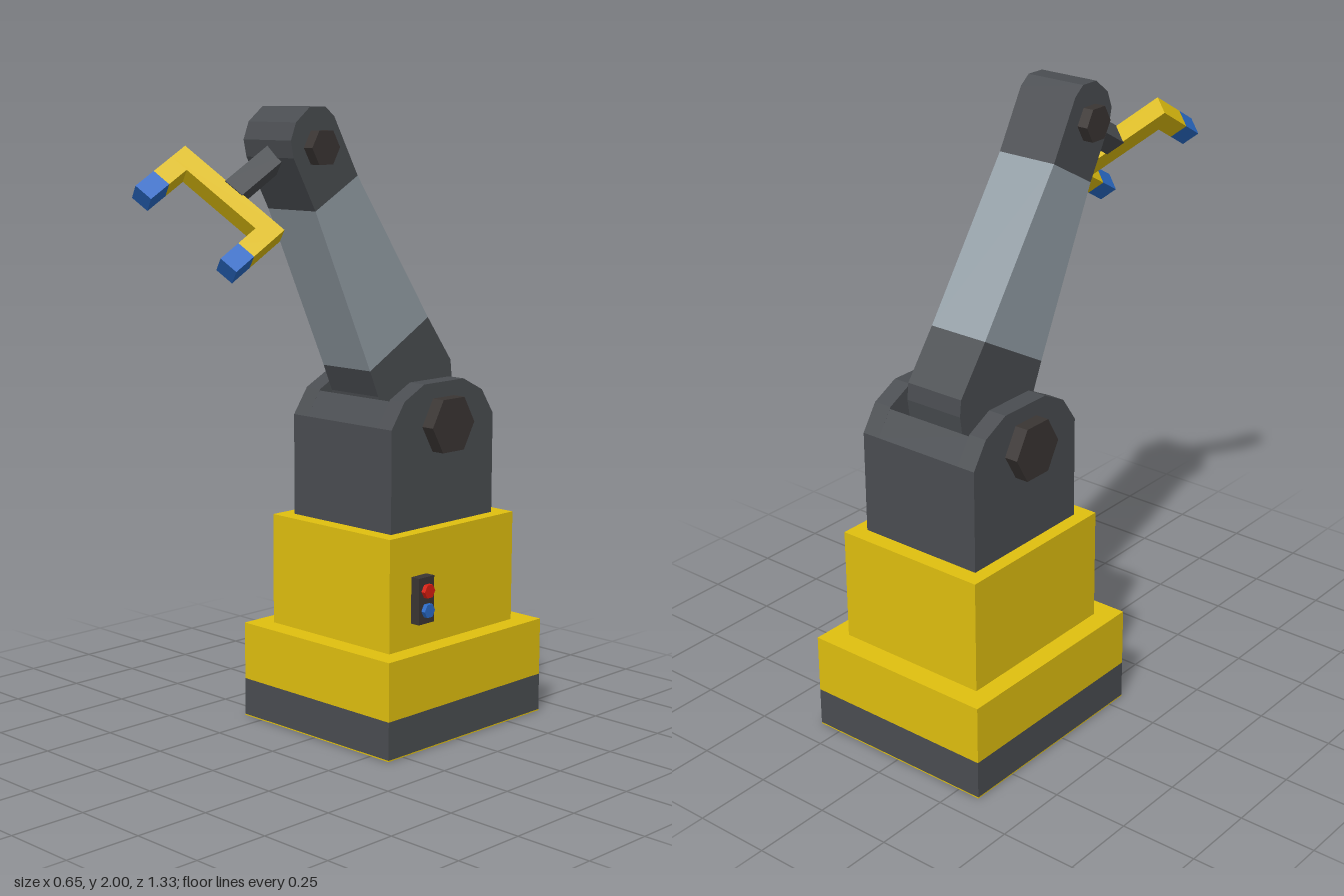
import * as THREE from 'three';

const mat = (color) => new THREE.MeshStandardMaterial({ color, flatShading: true });

export function createModel() {
  const yellow = mat(0xe0bf0f), dark = mat(0x4a4d51), light = mat(0x939ea6);
  const black = mat(0x3a3533), blue = mat(0x2a6bc8), red = mat(0xd81e10);
  const model = new THREE.Group();
  model.name = 'robotArm';

  function add(name, geometry, material, x = 0, y = 0, z = 0, parent = model) {
    const mesh = new THREE.Mesh(geometry, material);
    mesh.name = name;
    mesh.position.set(x, y, z);
    parent.add(mesh);
    return mesh;
  }
  // Box given by its bottom and top heights
  const block = (name, w, y0, y1, d, material, z) =>
    add(name, new THREE.BoxGeometry(w, y1 - y0, d), material, 0, (y0 + y1) / 2, z);
  // Side profile of [z, y] points extruded across x
  function slab(name, points, x0, x1, material) {
    const shape = new THREE.Shape(points.map(([z, y]) => new THREE.Vector2(-z, y)));
    const geometry = new THREE.ExtrudeGeometry(shape, { depth: x1 - x0, bevelEnabled: false });
    geometry.rotateY(Math.PI / 2);
    return add(name, geometry, material, x0);
  }
  // Hexagonal rod lying along x
  function hexRod(name, r, length, material, x, y, z) {
    const geometry = new THREE.CylinderGeometry(r, r, length, 6);
    geometry.rotateZ(Math.PI / 2);
    return add(name, geometry, material, x, y, z);
  }

  // Stepped base
  const cz = -0.299;
  block('basePlate', 0.654, 0, 0.004, 0.728, yellow, cz);
  block('baseFoot', 0.654, 0.004, 0.127, 0.728, dark, cz);
  block('baseStep', 0.654, 0.127, 0.317, 0.728, yellow, cz);
  block('baseBody', 0.524, 0.317, 0.682, 0.585, yellow, cz + 0.002);

  // Control box with two buttons
  add('controlBox', new THREE.BoxGeometry(0.04, 0.15, 0.07), black, 0.275, 0.472, -0.138);
  hexRod('redButton', 0.024, 0.03, red, 0.295, 0.503, -0.138);
  hexRod('blueButton', 0.024, 0.03, blue, 0.295, 0.44, -0.138);

  // Shoulder housing: two cheeks and a hollowed middle
  const cheek = [
    [-0.057, 0.68], [-0.057, 1.012], [-0.115, 1.095], [-0.205, 1.14],
    [-0.39, 1.14], [-0.48, 1.095], [-0.535, 1.012], [-0.535, 0.68],
  ];
  const middle = [
    [-0.057, 0.68], [-0.057, 1.012], [-0.112, 1.09], [-0.135, 0.99], [-0.205, 0.93],
    [-0.39, 0.93], [-0.465, 0.99], [-0.483, 1.09], [-0.535, 1.012], [-0.535, 0.68],
  ];
  slab('rightCheek', cheek, -0.217, -0.155, dark);
  slab('shoulderMiddle', middle, -0.155, 0.155, dark);
  slab('leftCheek', cheek, 0.155, 0.217, dark);
  hexRod('shoulderPivot', 0.098, 0.524, black, 0, 1.006, -0.295);

  // Tapered arm in three bands
  const low = [-0.082, 1.182], lowBack = [-0.347, 1.33];
  const high = [0.156, 1.69], highBack = [-0.024, 1.791];
  slab('armLower', [
    low, [-0.119, 1.097], [-0.145, 0.97], [-0.22, 0.88], [-0.36, 0.88],
    [-0.44, 0.97], [-0.464, 1.129], [-0.458, 1.182], lowBack,
  ], -0.106, 0.1, dark);
  slab('armMiddle', [low, high, highBack, lowBack], -0.106, 0.1, light);
  slab('armUpper', [
    high, [0.246, 1.85], [0.257, 1.902], [0.236, 1.955], [0.178, 2],
    [0.114, 2], [0.077, 1.971], highBack,
  ], -0.106, 0.1, dark);
  hexRod('wristPivot', 0.058, 0.278, black, -0.003, 1.88, 0.146);

  // Gripper: pitched down and rolled, pointing along its own z
  const gripper = new THREE.Group();
  gripper.name = 'gripper';
  gripper.position.set(-0.005, 1.749, 0.395);
  gripper.rotation.set(Math.PI / 6, 0, -Math.PI / 4);
  model.add(gripper);
  const w = 0.061, span = 0.392;
  add('wristRod', new THREE.BoxGeometry(0.067, 0.067, 0.25), dark, 0, 0, -0.12, gripper);
  add('gripperBar', new THREE.BoxGeometry(span, w, 0.062), yellow, 0, 0, 0.031, gripper);
  for (const [side, s] of [['right', -1], ['left', 1]]) {
    const x = s * (span - w) / 2;
    add(side + 'Finger', new THREE.BoxGeometry(w, w, 0.078), yellow, x, 0, 0.101, gripper);
    add(side + 'Fingertip', new THREE.BoxGeometry(w, w, 0.08), blue, x, 0, 0.18, gripper);
  }
  return model;
}
